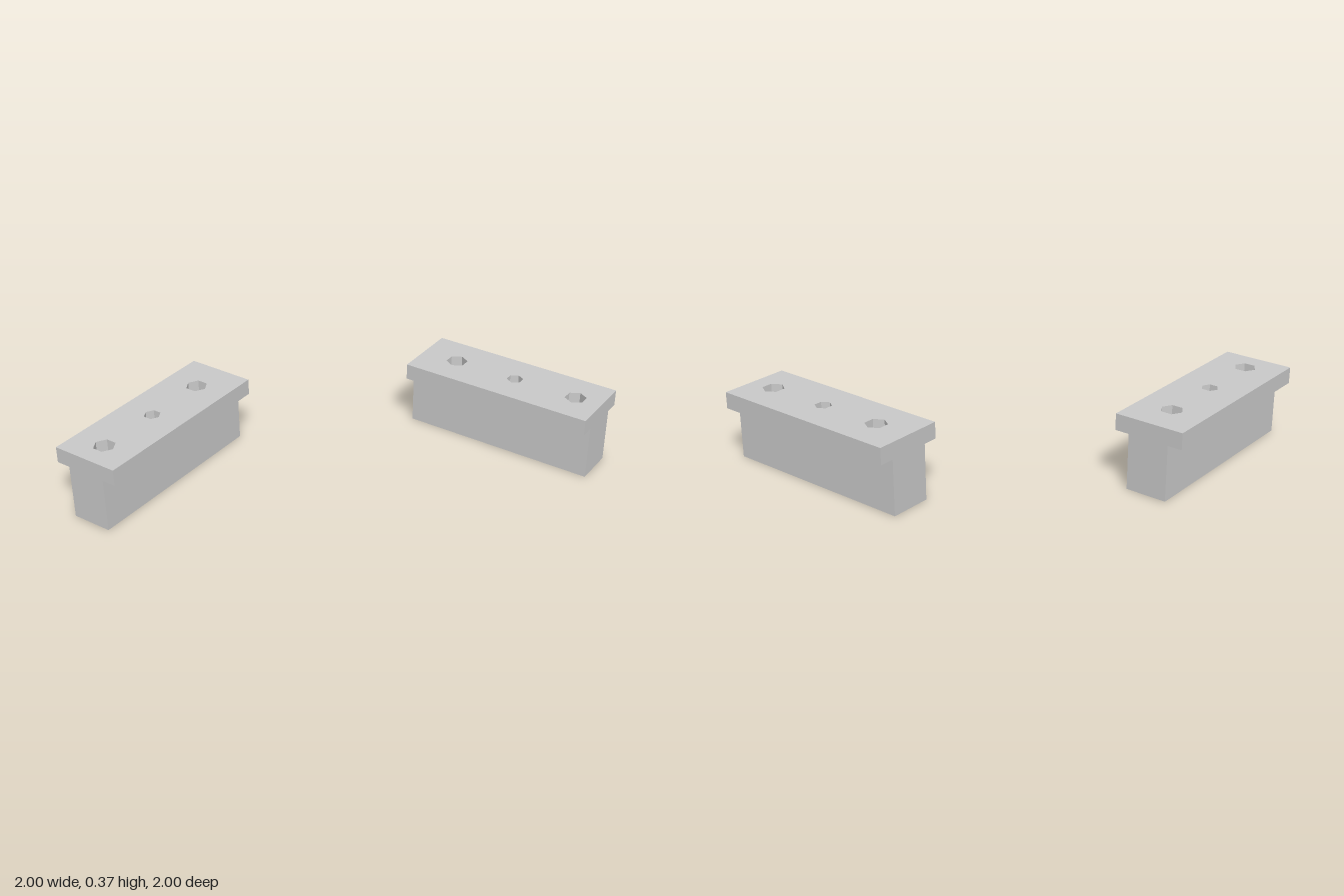
import * as THREE from 'three';

const material = new THREE.MeshStandardMaterial({ color: 0xcccccc, flatShading: true });
const LENGTH = 1.035;
// Position along the block and radius of each six-sided through hole
const HOLES = [[-0.317, 0.056], [0.03, 0.043], [0.377, 0.056]];

// Upright slab with the row of holes pierced through it
function piercedSlab(name, width, bottom, top) {
  const l = LENGTH / 2, w = width / 2;
  const shape = new THREE.Shape([[-l, -w], [l, -w], [l, w], [-l, w]].map(p => new THREE.Vector2(...p)));
  for (const [x, r] of HOLES) {
    const ring = [];
    for (let i = 0; i < 6; i++) {
      const a = Math.PI / 2 - i * Math.PI / 3;
      ring.push(new THREE.Vector2(x + r * Math.cos(a), r * Math.sin(a)));
    }
    shape.holes.push(new THREE.Path(ring));
  }
  const geometry = new THREE.ExtrudeGeometry(shape, { depth: top - bottom, bevelEnabled: false });
  geometry.rotateX(-Math.PI / 2).translate(0, bottom, 0);
  const mesh = new THREE.Mesh(geometry, material);
  mesh.name = name;
  return mesh;
}

// T-section block: wide flange on a narrower stem
function tBlock(name, x, z, turn) {
  const block = new THREE.Group();
  block.name = name;
  block.add(piercedSlab('stem', 0.215, 0, 0.287), piercedSlab('flange', 0.365, 0.287, 0.372));
  block.position.set(x, 0, z);
  block.rotation.y = turn;
  return block;
}

export function createModel() {
  const model = new THREE.Group();
  model.name = 'tBlockPair';
  model.add(
    tBlock('rearBlock', 0.482, -0.8175, 0),
    tBlock('sideBlock', -0.8175, 0.482, -Math.PI / 2),
  );
  return model;
}
